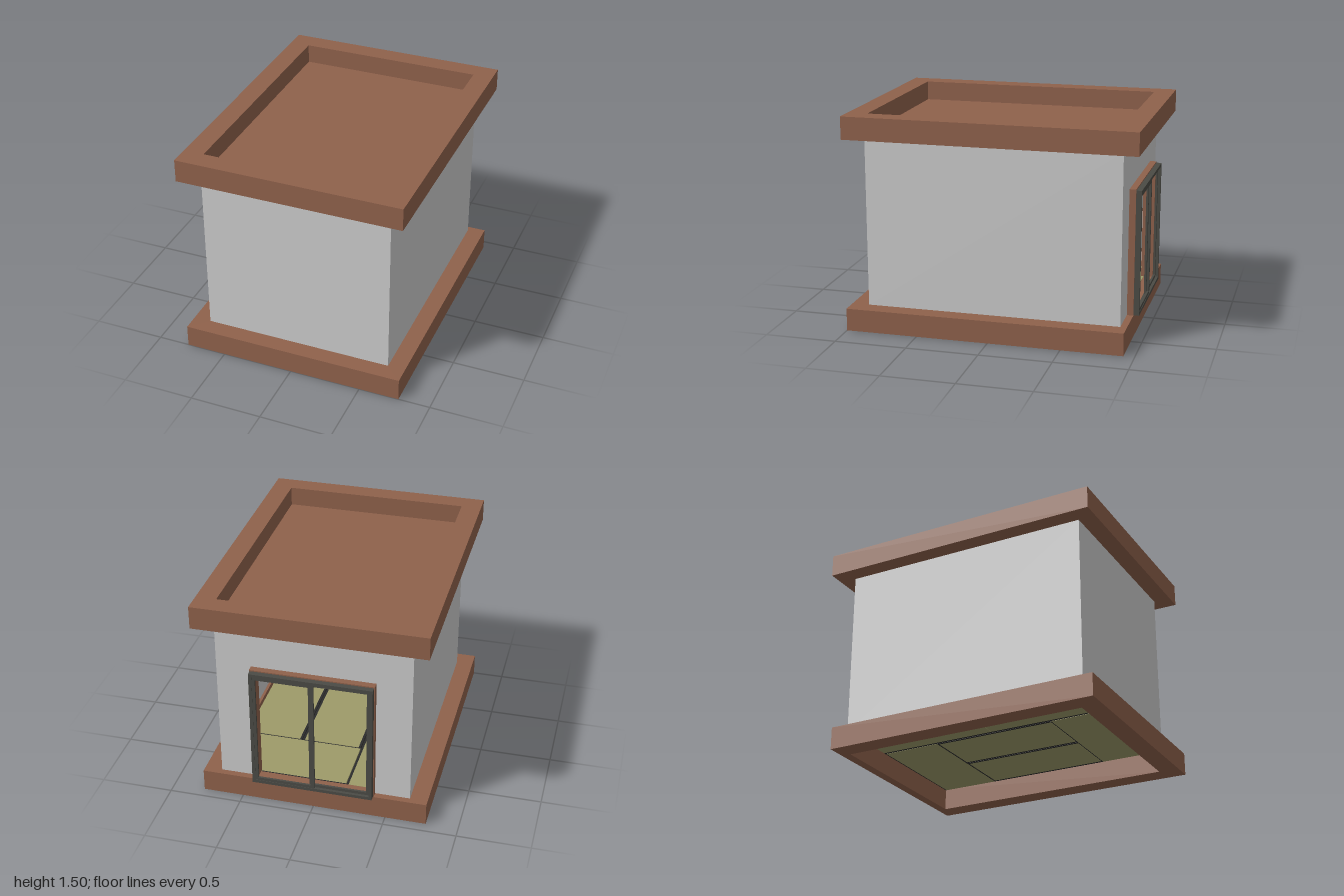
import * as THREE from 'three';

const brown = new THREE.MeshStandardMaterial({ name: 'brown wood', color: 0x8f614b });
const plaster = new THREE.MeshStandardMaterial({ name: 'grey plaster', color: 0xcbcbcb });
const straw = new THREE.MeshStandardMaterial({ name: 'straw mat', color: 0x9d9a69 });
const cloth = new THREE.MeshStandardMaterial({ name: 'black mat edging', color: 0x2c2c2c });
const metal = new THREE.MeshStandardMaterial({ name: 'dark door metal', color: 0x4b4b45 });

// Box given by its lower and upper corners
function box(parent, name, material, [x0, y0, z0], [x1, y1, z1]) {
  const mesh = new THREE.Mesh(new THREE.BoxGeometry(x1 - x0, y1 - y0, z1 - z0), material);
  mesh.position.set((x0 + x1) / 2, (y0 + y1) / 2, (z0 + z1) / 2);
  mesh.name = name;
  parent.add(mesh);
}

function rectangle(path, x0, y0, x1, y1) {
  return path.moveTo(x0, y0).lineTo(x1, y0).lineTo(x1, y1).lineTo(x0, y1).closePath();
}

// Rectangular outline with a rectangular hole, extruded; rects are [x0, y0, x1, y1]
function frameGeometry(outer, inner, depth) {
  const shape = rectangle(new THREE.Shape(), ...outer);
  shape.holes.push(rectangle(new THREE.Path(), ...inner));
  return new THREE.ExtrudeGeometry(shape, { depth, bevelEnabled: false });
}

// Horizontal ring; rects are [x0, z0, x1, z1]
function ring(parent, name, material, outer, inner, y0, y1) {
  const flip = ([x0, z0, x1, z1]) => [x0, -z1, x1, -z0];
  const geometry = frameGeometry(flip(outer), flip(inner), y1 - y0);
  geometry.rotateX(-Math.PI / 2).translate(0, y0, 0);
  const mesh = new THREE.Mesh(geometry, material);
  mesh.name = name;
  parent.add(mesh);
}

// Upright frame facing the back
function uprightFrame(parent, name, material, outer, inner, z0, z1) {
  const mesh = new THREE.Mesh(frameGeometry(outer, inner, z1 - z0), material);
  mesh.position.z = z0;
  mesh.name = name;
  parent.add(mesh);
}

const room = [-0.64, -0.86, 0.64, 0.86];

function buildShell(parent) {
  // Base curb, open underneath, and roof tray with a raised rim
  ring(parent, 'baseCurb', brown, [-0.78, -0.925, 0.78, 1], room, 0, 0.157);
  ring(parent, 'roofRim', brown, [-0.78, -1, 0.78, 1], room, 1.34, 1.497);
  box(parent, 'roofDeck', brown, [-0.64, 1.34, -0.86], [0.64, 1.362, 0.86]);

  // Walls, the back one with a doorway
  for (const s of [-1, 1]) {
    const x = [s * 0.66, s * 0.64].sort((a, b) => a - b);
    box(parent, 'sideWall', plaster, [x[0], 0.157, -0.88], [x[1], 1.34, 0.88]);
    const d = [s * 0.64, s * 0.39].sort((a, b) => a - b);
    box(parent, 'backWallPier', plaster, [d[0], 0.157, -0.88], [d[1], 1.34, -0.86]);
  }
  box(parent, 'backWallHeader', plaster, [-0.39, 1.01, -0.88], [0.39, 1.34, -0.86]);
  box(parent, 'frontWall', plaster, [-0.64, 0.157, 0.86], [0.64, 1.34, 0.88]);
}

function buildTrim(parent) {
  // Cornice and head rail run round the room; the skirting stops at the door
  const inset = [-0.62, -0.84, 0.62, 0.84];
  ring(parent, 'cornice', brown, room, inset, 1.31, 1.34);
  ring(parent, 'headRail', brown, room, inset, 1.0, 1.035);
  for (const s of [-1, 1]) {
    const x = [s * 0.64, s * 0.62].sort((a, b) => a - b);
    box(parent, 'sideSkirting', brown, [x[0], 0.17, -0.86], [x[1], 0.215, 0.86]);
    const d = [s * 0.62, s * 0.42].sort((a, b) => a - b);
    box(parent, 'backSkirting', brown, [d[0], 0.17, -0.86], [d[1], 0.215, -0.84]);
  }
  box(parent, 'frontSkirting', brown, [-0.62, 0.17, 0.84], [0.62, 0.215, 0.86]);
}

function buildMats(parent) {
  // Six mats on a three by four grid: [column, row, columns wide, rows deep]
  const layout = [[1, 0, 2, 1], [1, 1, 1, 2], [2, 1, 1, 2], [1, 3, 2, 1], [0, 0, 1, 2], [0, 2, 1, 2]];
  const cx = 1.28 / 3, cz = 0.43, gap = 0.002, y0 = 0.148, y1 = 0.178;
  for (const [c, r, w, d] of layout) {
    const x0 = -0.64 + c * cx + gap, x1 = -0.64 + (c + w) * cx - gap;
    const z0 = -0.86 + r * cz + gap, z1 = -0.86 + (r + d) * cz - gap;
    const along = d > w;
    const e = along ? 0.016 : 0.007;
    const ex = along ? e : 0, ez = along ? 0 : e;
    box(parent, 'mat', straw, [x0 + ex, y0, z0 + ez], [x1 - ex, y1, z1 - ez]);
    // Cloth edging on the two long sides
    if (along) {
      box(parent, 'matEdging', cloth, [x0, y0, z0], [x0 + e, y1, z1]);
      box(parent, 'matEdging', cloth, [x1 - e, y0, z0], [x1, y1, z1]);
    } else {
      box(parent, 'matEdging', cloth, [x0, y0, z0], [x1, y1, z0 + e]);
      box(parent, 'matEdging', cloth, [x0, y0, z1 - e], [x1, y1, z1]);
    }
  }
}

function buildDoor(parent) {
  // Wooden casing
  for (const s of [-1, 1]) {
    const x = [s * 0.42, s * 0.385].sort((a, b) => a - b);
    box(parent, 'doorJamb', brown, [x[0], 0.157, -0.925], [x[1], 1.035, -0.84]);
  }
  box(parent, 'doorHead', brown, [-0.385, 1.0, -0.925], [0.385, 1.035, -0.84]);
  box(parent, 'doorSill', brown, [-0.385, 0.15, -0.925], [0.385, 0.178, -0.86]);

  // Metal track frame with two open sliding sashes
  uprightFrame(parent, 'doorFrame', metal, [-0.415, 0.157, 0.415, 1.027], [-0.393, 0.179, 0.393, 1.005], -0.963, -0.925);
  uprightFrame(parent, 'outerSash', metal, [-0.02, 0.179, 0.393, 1.005], [0.008, 0.2, 0.372, 0.984], -0.96, -0.945);
  uprightFrame(parent, 'innerSash', metal, [-0.393, 0.179, 0.02, 1.005], [-0.372, 0.2, -0.008, 0.984], -0.943, -0.928);
}

export function createModel() {
  const model = new THREE.Group();
  model.name = 'matRoom';
  const parts = { shell: buildShell, interiorTrim: buildTrim, matFloor: buildMats, slidingDoor: buildDoor };
  for (const [name, build] of Object.entries(parts)) {
    const group = new THREE.Group();
    group.name = name;
    build(group);
    model.add(group);
  }
  return model;
}
